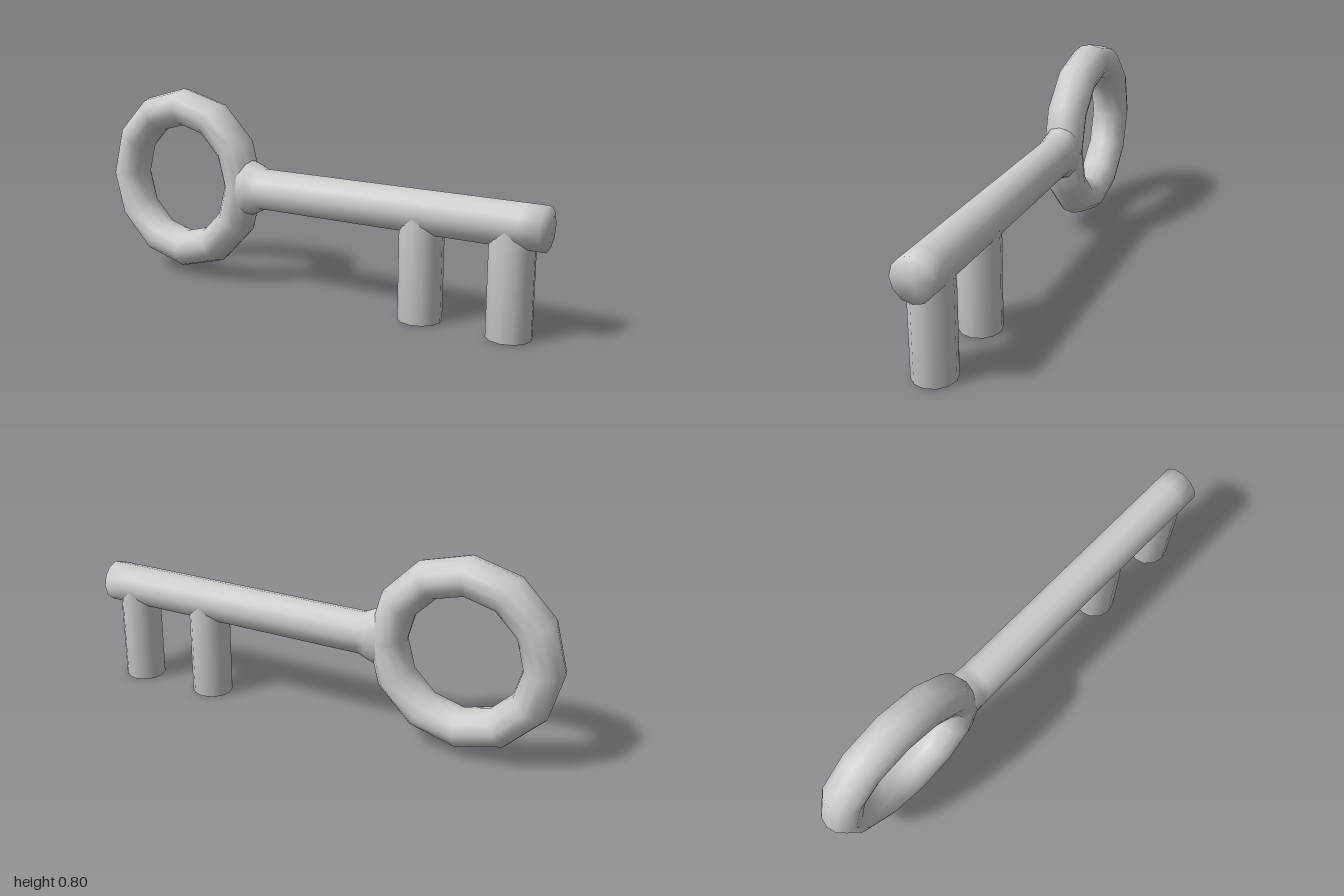
import * as THREE from 'three';
import { mergeVertices } from 'three/addons/utils/BufferGeometryUtils.js';

const SIDES = 12;
const AXIS_Y = 0.417;
const ROD = 0.085;
const HALF_DEPTH = 0.083;

// Weld a geometry so shading flows smoothly over seams and end caps
function smooth(geometry) {
  geometry.deleteAttribute('normal');
  geometry.deleteAttribute('uv');
  const welded = mergeVertices(geometry, 1e-4);
  welded.computeVertexNormals();
  return welded;
}

// Twelve-sided turned part from [radius, height] pairs, bottom to top
function turned(profile) {
  return new THREE.LatheGeometry(profile.map(([r, h]) => new THREE.Vector2(r, h)), SIDES);
}

export function createModel() {
  const model = new THREE.Group();
  model.name = 'key';
  const material = new THREE.MeshStandardMaterial({ color: 0xcccccc });

  function add(name, geometry, x, y) {
    const mesh = new THREE.Mesh(smooth(geometry), material);
    mesh.name = name;
    mesh.position.set(x, y, 0);
    model.add(mesh);
    return mesh;
  }

  // Ring handle, slightly deeper in z than it is wide
  const ring = new THREE.TorusGeometry(0.308, 0.077, SIDES, SIDES);
  ring.scale(1, 1, HALF_DEPTH / 0.077);
  add('ringHandle', ring, -0.615, AXIS_Y);

  // Shank with a flared root that widens only in height where it meets the ring
  const shank = turned([
    [0.125, -0.29], [0.105, -0.24], [ROD, -0.2], [ROD, 0.92], [ROD, 1], [0, 1],
  ]);
  const p = shank.attributes.position;
  for (let i = 0; i < p.count; i++) {
    const r = Math.hypot(p.getX(i), p.getZ(i));
    if (r > HALF_DEPTH) p.setZ(i, p.getZ(i) * HALF_DEPTH / r);
  }
  shank.rotateZ(-Math.PI / 2);
  add('shank', shank, 0, AXIS_Y);

  // Two round teeth hanging below the shank
  [['innerTooth', 0.517], ['outerTooth', 0.875]].forEach(([name, x]) => {
    const tooth = turned([[0, 0], [ROD, 0], [ROD, 0.34], [ROD * 0.95, AXIS_Y]]);
    tooth.scale(1, 1, HALF_DEPTH / ROD);
    add(name, tooth, x, 0);
  });

  return model;
}
